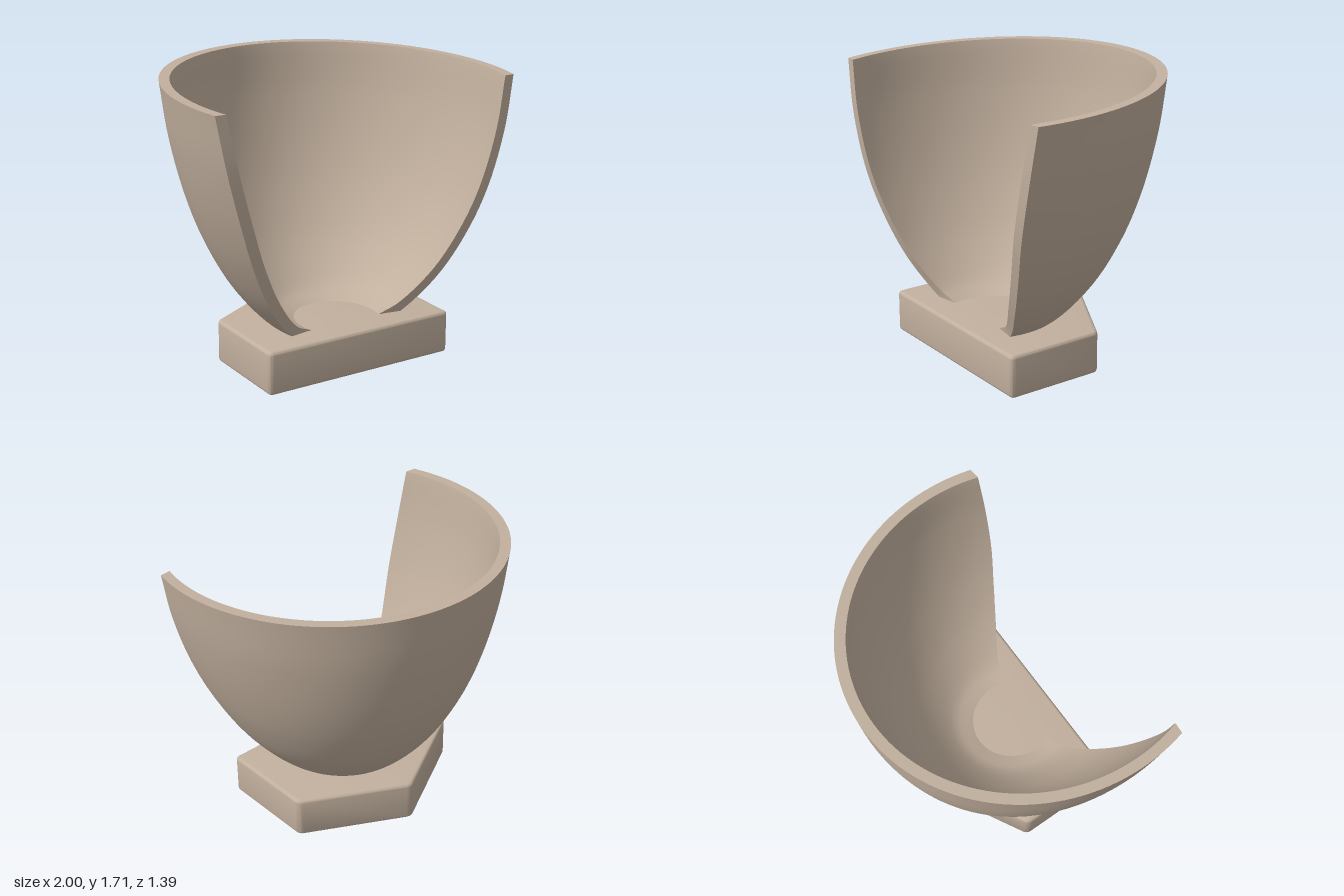
import * as THREE from 'three';
import { mergeGeometries, toCreasedNormals } from 'three/addons/utils/BufferGeometryUtils.js';

const THICKNESS = 0.06, LEVELS = 40, SEGMENTS = 80, BOTTOM = 0.2, TOP = 1.665;

// Smooth indexed patch from rows of points
function patch(rows) {
  const n = rows[0].length, index = [];
  for (let i = 0; i < rows.length - 1; i++) {
    for (let j = 0; j < n - 1; j++) {
      const a = i * n + j, b = a + 1, c = a + n, d = c + 1;
      index.push(a, b, c, b, d, c);
    }
  }
  const g = new THREE.BufferGeometry().setFromPoints(rows.flat());
  g.setIndex(index);
  g.computeVertexNormals();
  return g;
}

// One elliptical ring of the bowl, open at the front up to depth cutZ
function ring(r, y, cutZ) {
  const zc = 0.33 + 0.045 * (y - BOTTOM), rz = r * 1.09;
  const alpha = Math.asin(Math.min(0.95, (cutZ - zc) / rz));
  const points = [];
  for (let j = 0; j <= SEGMENTS; j++) {
    const phi = -alpha + (Math.PI + 2 * alpha) * j / SEGMENTS;
    const z = zc - rz * Math.sin(phi);
    // the rim rises slightly toward the back
    const tilt = 0.044 * (0.35 - z) * Math.max(0, y - BOTTOM) / (TOP - BOTTOM);
    points.push(new THREE.Vector3(r * Math.cos(phi), y + tilt, z));
  }
  return points;
}

function bowlGeometry() {
  // x: radius, y: height, z: depth of the front cut
  const profile = new THREE.CatmullRomCurve3([
    [0.27, 0.2, 0.42], [0.395, 0.26, 0.45], [0.6, 0.48, 0.55], [0.752, 0.74, 0.625],
    [0.86, 1.01, 0.675], [0.95, 1.35, 0.692], [1.0, TOP, 0.68],
  ].map(p => new THREE.Vector3(...p)));
  const outer = [], inner = [];
  for (let i = 0; i <= LEVELS; i++) {
    const p = profile.getPointAt(i / LEVELS), t = profile.getTangentAt(i / LEVELS);
    const k = THICKNESS / Math.hypot(t.x, t.y);
    outer.push(ring(p.x, p.y, p.z));
    inner.push(ring(p.x - t.y * k, Math.min(TOP, p.y + t.x * k), p.z + 0.005));
  }
  const column = (rows, j) => rows.map(row => row[j]);
  return mergeGeometries([
    patch(outer),
    patch([...inner].reverse()),
    patch([outer[LEVELS], inner[LEVELS]]),                      // rim
    patch([column(outer, 0), column(inner, 0)]),                // left cut edge
    patch([column(inner, SEGMENTS), column(outer, SEGMENTS)]),  // right cut edge
  ]);
}

// Five-sided block with softened edges, pointed at the back
function baseGeometry() {
  const corners = [[-0.61, -0.6], [0.61, -0.6], [0.61, 0], [0, 0.335], [-0.61, 0]]
    .map(c => new THREE.Vector2(...c));
  const shape = new THREE.Shape();
  corners.forEach((c, i) => {
    const prev = corners[(i + 4) % 5], next = corners[(i + 1) % 5];
    const toward = q => q.clone().sub(c).setLength(0.03).add(c);
    const a = toward(prev), b = toward(next);
    if (i === 0) shape.moveTo(a.x, a.y); else shape.lineTo(a.x, a.y);
    shape.quadraticCurveTo(c.x, c.y, b.x, b.y);
  });
  shape.closePath();
  const g = new THREE.ExtrudeGeometry(shape, {
    depth: 0.215, bevelThickness: 0.02, bevelSize: 0.02, bevelOffset: -0.02,
    bevelSegments: 4, curveSegments: 5,
  });
  g.rotateX(-Math.PI / 2);
  g.translate(0, 0.02, 0);
  return toCreasedNormals(g, 0.6);
}

export function createModel() {
  const clay = new THREE.MeshStandardMaterial({ color: 0xc2b09e });
  clay.name = 'warm clay';
  const group = new THREE.Group();
  const add = (name, geometry) => {
    const mesh = new THREE.Mesh(geometry, clay);
    mesh.name = name;
    group.add(mesh);
  };
  add('base', baseGeometry());
  add('openBowl', bowlGeometry());
  return group;
}
